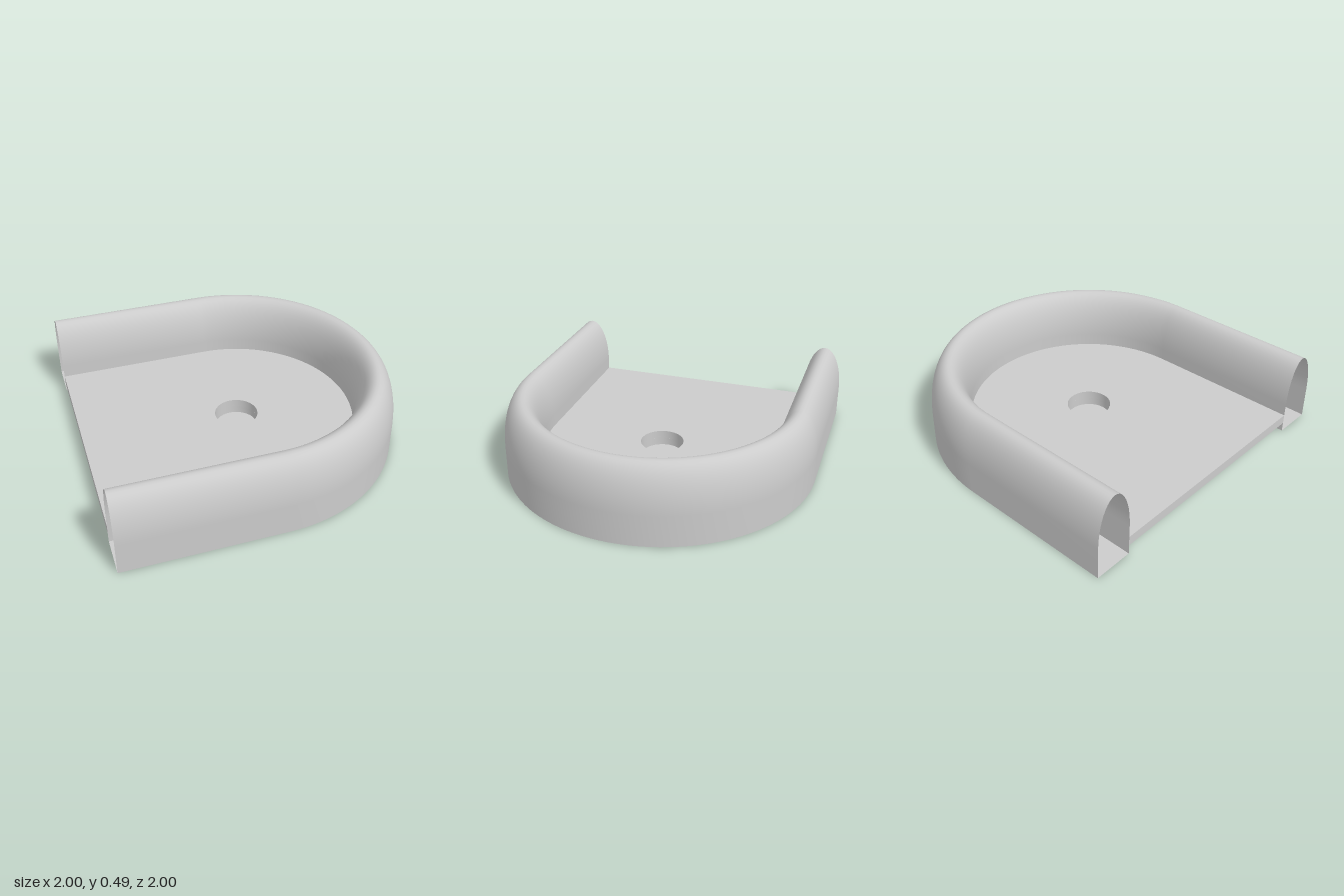
import * as THREE from 'three';
import { toCreasedNormals } from 'three/addons/utils/BufferGeometryUtils.js';

const INNER = 0.755, OUTER = 1, MID = (INNER + OUTER) / 2, HALF = (OUTER - INNER) / 2;
const ARC_STEPS = 64;

// Sweeps a list of [radius, y] points along the U-shaped path, open at x = -1.
function sweepU(profile) {
  const positions = [], indices = [], n = profile.length;
  const rows = ARC_STEPS + 3;
  for (let i = 0; i < rows; i++) {
    const a = Math.PI * THREE.MathUtils.clamp((i - 1) / ARC_STEPS, 0, 1);
    const atEnd = i === 0 || i === rows - 1;
    for (const [r, y] of profile) {
      positions.push(atEnd ? -1 : r * Math.sin(a), y, r * Math.cos(a));
    }
  }
  for (let i = 0; i < rows - 1; i++) {
    for (let j = 0; j < n - 1; j++) {
      const a = i * n + j, b = a + n;
      indices.push(a, b, a + 1, b, b + 1, a + 1);
    }
  }
  const geometry = new THREE.BufferGeometry();
  geometry.setAttribute('position', new THREE.Float32BufferAttribute(positions, 3));
  geometry.setIndex(indices);
  geometry.computeVertexNormals();
  return geometry;
}

export function createModel() {
  const group = new THREE.Group();
  const material = new THREE.MeshStandardMaterial({ color: 0xcccccc });
  const thinMaterial = new THREE.MeshStandardMaterial({ color: 0xcccccc, side: THREE.DoubleSide });
  const add = (name, geometry, mat) => {
    const mesh = new THREE.Mesh(geometry, mat);
    mesh.name = name;
    group.add(mesh);
  };

  // Hollow rim: upright sides with an elliptical crown
  const crown = [[OUTER, 0]];
  for (let i = 0; i <= 20; i++) {
    const a = Math.PI * i / 20;
    crown.push([MID + HALF * Math.cos(a), 0.2 + 0.29 * Math.sin(a)]);
  }
  crown.push([INNER, 0]);
  add('rim', sweepU(crown), thinMaterial);
  add('rimUnderside', sweepU([[INNER, 0], [OUTER, 0]]), thinMaterial);

  // Floor plate, raised off the ground, with a round hole
  const outline = new THREE.Shape();
  outline.moveTo(-1, -INNER);
  outline.lineTo(0, -INNER);
  outline.absarc(0, 0, INNER, -Math.PI / 2, Math.PI / 2, false);
  outline.lineTo(-1, INNER);
  outline.closePath();
  const hole = new THREE.Path();
  hole.absarc(0, 0, 0.138, 0, Math.PI * 2, true);
  outline.holes.push(hole);
  const plate = new THREE.ExtrudeGeometry(outline, { depth: 0.06, bevelEnabled: false, curveSegments: 40 });
  plate.rotateX(-Math.PI / 2).translate(0, 0.06, 0);
  add('floorPlate', toCreasedNormals(plate, 0.6), material);

  // Shallow cup hanging below the hole
  const cup = [[0, 0], [0.168, 0], [0.168, 0.07], [0.138, 0.07], [0.138, 0.02], [0, 0.02]];
  const cupGeometry = new THREE.LatheGeometry(cup.map(([r, y]) => new THREE.Vector2(r, y)), 48);
  add('centreCup', toCreasedNormals(cupGeometry, 0.6), material);

  return group;
}
